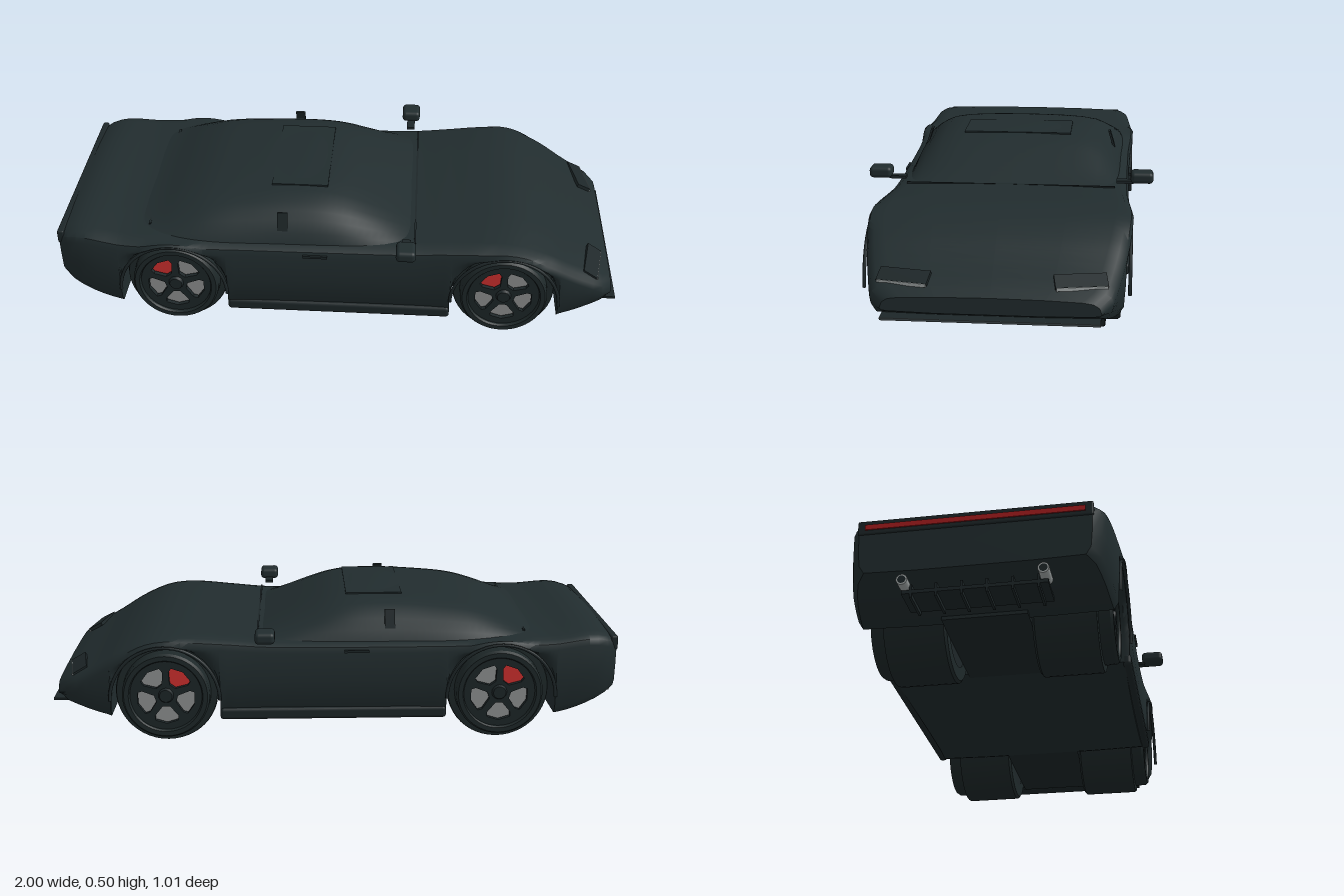
import * as THREE from 'three';
import { toCreasedNormals } from 'three/addons/utils/BufferGeometryUtils.js';
import { RoundedBoxGeometry } from 'three/addons/geometries/RoundedBoxGeometry.js';

const mat = (name, color) => new THREE.MeshStandardMaterial({ name, color });
const AXLES = [-0.57, 0.6], WHEEL_Y = 0.18, ARCH_R = 0.19;

// Smooth curve through [x, value] pairs
function smooth(p) {
  const slope = i => {
    const a = p[Math.max(i - 1, 0)], b = p[Math.min(i + 1, p.length - 1)];
    return (b[1] - a[1]) / (b[0] - a[0]);
  };
  return x => {
    let i = 0;
    while (i < p.length - 2 && x > p[i + 1][0]) i++;
    const h = p[i + 1][0] - p[i][0], t = Math.min(Math.max((x - p[i][0]) / h, 0), 1);
    const t2 = t * t, t3 = t2 * t;
    return (2 * t3 - 3 * t2 + 1) * p[i][1] + (t3 - 2 * t2 + t) * h * slope(i)
      + (3 * t2 - 2 * t3) * p[i + 1][1] + (t3 - t2) * h * slope(i + 1);
  };
}

// Skin closed by end caps; each section is { x, half: [[z, y], ...] } from top centre to bottom centre
function loft(sections, crease) {
  const rings = sections.map(({ x, half }) => {
    const left = half.map(([z, y]) => [x, y, z]);
    const right = half.slice(1, -1).reverse().map(([z, y]) => [x, y, -z]);
    return [...left, ...right];
  });
  const pos = [], tri = (...v) => v.forEach(q => pos.push(...q));
  const n = rings[0].length;
  for (let i = 0; i < rings.length - 1; i++) {
    for (let j = 0; j < n; j++) {
      const k = (j + 1) % n, r = rings[i], s = rings[i + 1];
      tri(r[j], r[k], s[j]);
      tri(r[k], s[k], s[j]);
    }
  }
  [rings[0], rings[rings.length - 1]].forEach((r, end) => {
    const c = [r[0][0], (r[0][1] + r[n / 2][1]) / 2, 0];
    for (let j = 0; j < n; j++) {
      const k = (j + 1) % n;
      if (end) tri(c, r[j], r[k]); else tri(c, r[k], r[j]);
    }
  });
  const g = new THREE.BufferGeometry();
  g.setAttribute('position', new THREE.Float32BufferAttribute(pos, 3));
  return toCreasedNormals(g, crease);
}

const deckTop = smooth([[-0.98, 0.37], [-0.94, 0.39], [-0.88, 0.4], [-0.75, 0.387], [-0.6, 0.388], [-0.35, 0.382],
  [0, 0.38], [0.25, 0.383], [0.4, 0.395], [0.55, 0.405], [0.65, 0.395], [0.75, 0.355], [0.85, 0.297], [0.95, 0.245], [0.98, 0.225]]);
const halfWidth = smooth([[-0.98, 0.37], [-0.95, 0.395], [-0.85, 0.42], [-0.62, 0.438], [-0.3, 0.425], [0.3, 0.42],
  [0.6, 0.435], [0.75, 0.422], [0.9, 0.39], [0.95, 0.375], [0.98, 0.342]]);
const underside = smooth([[-0.98, 0.185], [-0.9, 0.145], [-0.8, 0.112], [-0.7, 0.1], [0.7, 0.1], [0.82, 0.113], [0.94, 0.15], [0.98, 0.17]]);
const roofTop = smooth([[-0.74, 0.372], [-0.65, 0.4], [-0.55, 0.442], [-0.45, 0.473], [-0.3, 0.492], [-0.18, 0.5],
  [-0.06, 0.498], [0.02, 0.483], [0.1, 0.453], [0.2, 0.41], [0.28, 0.375]]);
const roofWidth = smooth([[-0.74, 0.37], [-0.5, 0.4], [-0.2, 0.392], [0.1, 0.385], [0.28, 0.37]]);

function bodyGeometry() {
  const st = [];
  for (let i = 0; i <= 56; i++) {
    const x = -0.98 + 1.96 * i / 56;
    if (AXLES.every(c => Math.abs(x - c) > ARCH_R + 0.004)) st.push([x, underside(x)]);
  }
  for (const c of AXLES) {
    for (const s of [-1, 1]) st.push([c + s * (ARCH_R + 0.001), 0.105]);
    for (let i = 0; i <= 20; i++) {
      const a = Math.PI * i / 20;
      st.push([c - ARCH_R * Math.cos(a), 0.175 + ARCH_R * Math.sin(a)]);
    }
  }
  st.sort((a, b) => a[0] - b[0]);
  return loft(st.map(([x, b]) => {
    const t = deckTop(x), w = halfWidth(x);
    const shoulder = Math.max(t - 0.042, b + 0.008), low = Math.min(b + 0.03, (b + shoulder) / 2);
    return { x, half: [[0, t], [w * 0.5, t - 0.002], [w - 0.06, t - 0.006], [w - 0.025, t - 0.011],
      [w - 0.007, (t - 0.011 + shoulder) / 2 + 0.004], [w, shoulder], [w - 0.001, (shoulder + low) / 2],
      [w - 0.006, low], [w - 0.022, b + 0.004], [w * 0.5, b], [0, b]] };
  }), 0.65);
}

function cabinGeometry() {
  const form = [[0, 1], [0.2, 0.995], [0.4, 0.975], [0.58, 0.93], [0.72, 0.84], [0.8, 0.71], [0.87, 0.55], [0.95, 0.3], [1, 0], [0, 0]];
  const st = [];
  for (let i = 0; i <= 40; i++) {
    const x = -0.74 + 1.02 * i / 40, base = 0.365;
    st.push({ x, half: form.map(([z, h]) => [z * roofWidth(x), base + (roofTop(x) - base) * h]) });
  }
  return loft(st, 0.9);
}

// Five-window wheel face
function rimGeometry() {
  const face = new THREE.Shape().absarc(0, 0, 0.128, 0, Math.PI * 2);
  for (let i = 0; i < 5; i++) {
    const mid = -Math.PI / 2 + i * Math.PI * 2 / 5, hole = new THREE.Path();
    [[0.042, -0.3], [0.085, -0.5], [0.1, -0.42], [0.104, 0], [0.1, 0.42], [0.085, 0.5], [0.042, 0.3]].forEach(([r, d], k) =>
      hole[k ? 'lineTo' : 'moveTo'](r * Math.cos(mid + d), r * Math.sin(mid + d)));
    hole.closePath();
    face.holes.push(hole);
  }
  return new THREE.ExtrudeGeometry(face, { depth: 0.016, bevelEnabled: false, curveSegments: 40 });
}

export function createModel() {
  const car = new THREE.Group();
  car.name = 'sportsCar';
  const paint = mat('darkPaint', 0x212c2e), trim = mat('darkTrim', 0x1d2628), rubber = mat('tyreRubber', 0x1e2829);
  const steel = mat('brakeSteel', 0x909292), red = mat('caliperRed', 0xd0302f), tail = mat('tailRed', 0xa81c1e);
  const lamp = mat('lampGlass', 0xa2a8a8), grille = mat('grilleGrey', 0x3a4345);
  const add = (name, geo, m, x = 0, y = 0, z = 0, parent = car) => {
    const mesh = new THREE.Mesh(geo, m);
    mesh.name = name;
    mesh.position.set(x, y, z);
    parent.add(mesh);
    return mesh;
  };
  const box = (w, h, d) => new THREE.BoxGeometry(w, h, d);

  // Shell
  add('body', bodyGeometry(), paint);
  add('cabin', cabinGeometry(), paint);
  add('underfloor', box(1.6, 0.2, 0.28), trim, 0, 0.2, 0);
  add('roofHatch', box(0.2, 0.006, 0.4), paint, -0.135, 0.494, 0);
  add('cowlSeam', box(0.006, 0.006, 0.74), trim, 0.28, 0.382, 0);

  // Wheels: tyre, disc, caliper, spoked face
  const profile = [[0.125, 0.14], [0.17, 0.14], [0.18, 0.148], [0.18, 0.342], [0.177, 0.35], [0.155, 0.352],
    [0.153, 0.39], [0.146, 0.4], [0.13, 0.4], [0.126, 0.394], [0.124, 0.36]];
  const tyre = toCreasedNormals(new THREE.LatheGeometry(profile.map(p => new THREE.Vector2(...p)), 48).rotateX(Math.PI / 2), 0.5);
  const rim = rimGeometry();
  for (const x of AXLES) for (const s of [1, -1]) {
    const wheel = new THREE.Group();
    wheel.name = 'wheel';
    wheel.position.set(x, WHEEL_Y, 0);
    wheel.rotation.y = s > 0 ? 0 : Math.PI;
    car.add(wheel);
    add('tyre', tyre, rubber, 0, 0, 0, wheel);
    add('innerCap', new THREE.CircleGeometry(0.126, 40).rotateY(Math.PI), trim, 0, 0, 0.141, wheel);
    add('brakeDisc', new THREE.CircleGeometry(0.125, 40), steel, 0, 0, 0.361, wheel);
    const angle = s > 0 ? 0.7 * Math.PI : 0.3 * Math.PI;
    add('caliper', new THREE.RingGeometry(0.035, 0.115, 16, 1, angle - 0.6, 1.2), red, 0, 0, 0.366, wheel);
    add('rim', rim, trim, 0, 0, 0.372, wheel);
    add('hub', new THREE.CylinderGeometry(0.022, 0.028, 0.012, 20).rotateX(Math.PI / 2), trim, 0, 0, 0.392, wheel);
    add('archLip', new THREE.TorusGeometry(ARCH_R, 0.006, 8, 32, Math.PI), trim, x, 0.175, s * (halfWidth(x) - 0.008));
  }

  // Side fittings, mirrored
  for (const s of [1, -1]) {
    add('sill', new RoundedBoxGeometry(0.79, 0.042, 0.03, 3, 0.012), trim, 0.015, 0.121, s * 0.412);
    add('mirrorHousing', new RoundedBoxGeometry(0.068, 0.04, 0.08, 4, 0.014), paint, 0.25, 0.415, s * 0.465);
    add('mirrorStalk', box(0.03, 0.01, 0.06), trim, 0.25, 0.396, s * 0.405);
    add('doorHandle', box(0.085, 0.009, 0.008), trim, -0.065, 0.345, s * 0.423);
    add('pillarFin', box(0.036, 0.07, 0.008), trim, -0.183, 0.44, s * 0.354).rotation.x = -s * 0.3;
    add('deckVent', box(0.008, 0.01, 0.04), trim, -0.66, 0.385, s * 0.3);
    const light = new THREE.Group();
    light.name = 'headlight';
    light.position.set(0.92, 0.263, s * 0.277);
    light.rotation.y = -s * 0.18;
    car.add(light);
    add('headlightCover', box(0.055, 0.012, 0.165), trim, -0.008, 0, 0, light).rotation.z = -0.5;
    add('headlightStrip', box(0.012, 0.011, 0.16), lamp, 0.015, -0.014, 0, light);
    // Twin exhaust with dark bores
    add('exhaust', new THREE.CylinderGeometry(0.018, 0.018, 0.08, 20).rotateZ(Math.PI / 2), lamp, -0.959, 0.145, s * 0.22);
    add('exhaustBore', new THREE.CircleGeometry(0.013, 20).rotateY(-Math.PI / 2), trim, -0.9995, 0.145, s * 0.22);
  }

  // Nose
  add('splitter', box(0.1, 0.008, 0.68), trim, 0.949, 0.154, 0);
  add('splitterEdge', box(0.004, 0.008, 0.68), grille, 0.998, 0.154, 0);

  // Tail
  add('tailPanel', new RoundedBoxGeometry(0.024, 0.05, 0.75, 2, 0.006), trim, -0.972, 0.352, 0);
  add('tailLight', box(0.006, 0.018, 0.7), tail, -0.985, 0.351, 0);
  add('diffuser', box(0.125, 0.012, 0.46), trim, -0.9, 0.12, 0);
  for (let i = 0; i < 6; i++) add('diffuserFin', box(0.125, 0.045, 0.008), trim, -0.9, 0.123, -0.2 + i * 0.08);

  return car;
}
